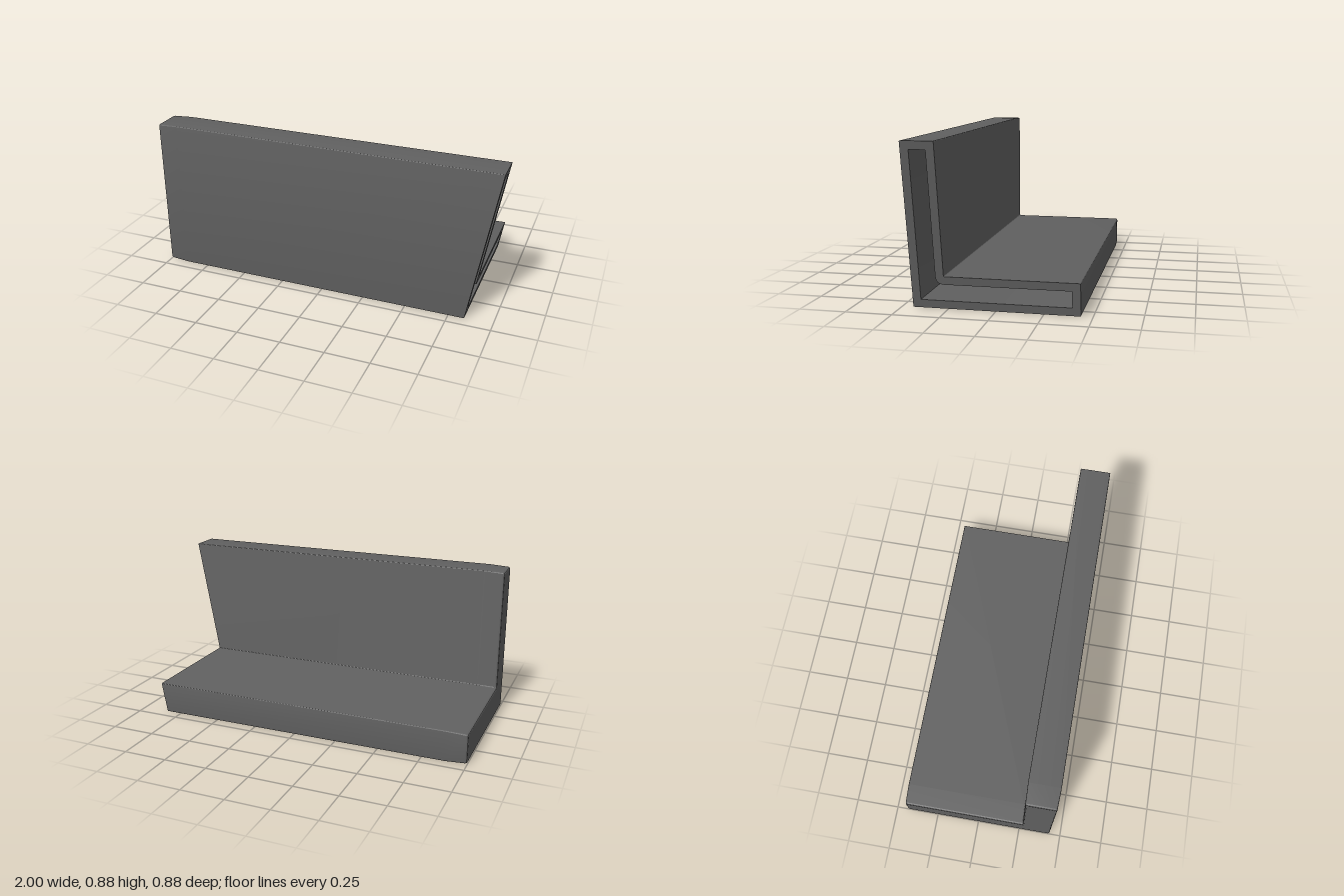
import * as THREE from 'three';
import { mergeVertices, toCreasedNormals } from 'three/addons/utils/BufferGeometryUtils.js';

// L profile corners: z, y, and the direction an inset moves each of them
const CORNERS = [
  [0.44, 0, -1, 1], [-0.44, 0, 1, 1], [-0.44, 0.177, 1, -1],
  [0.265, 0.177, 1, -1], [0.265, 0.88, 1, -1], [0.44, 0.88, -1, -1],
];
const WALL = 0.044;
const STEPS = 4;

// Profile inset by d, with every corner rounded by its radius
function profile(d, radius) {
  const c = CORNERS.map(([z, y, sz, sy]) => new THREE.Vector2(z + sz * d, y + sy * d));
  return c.flatMap((p, i) => {
    const prev = c[(i + c.length - 1) % c.length], next = c[(i + 1) % c.length];
    const r = radius(i);
    const toward = (q) => q.clone().sub(p).setLength(r).add(p);
    return new THREE.QuadraticBezierCurve(toward(prev), p, toward(next)).getPoints(STEPS);
  });
}

// The open end leans outward with height
const slant = (y) => 0.84 + 0.16 * y / 0.88;

const place = (points, xAt) => points.map((p) => new THREE.Vector3(xAt(p.y), p.y, p.x));

// Skin through successive rings of points; a low crease angle keeps the walls evenly shaded
function loft(rings) {
  const n = rings[0].length, index = [];
  for (let i = 0; i < rings.length - 1; i++) {
    for (let j = 0; j < n; j++) {
      const k = (j + 1) % n, a = i * n, b = a + n;
      index.push(a + j, a + k, b + j, a + k, b + k, b + j);
    }
  }
  const geo = new THREE.BufferGeometry().setFromPoints(rings.flat());
  geo.setIndex(index);
  return toCreasedNormals(mergeVertices(geo), 0.15);
}

// Flat face across a profile, facing -x or (flipped) +x
function face(points, xAt, flip, hole) {
  const shape = new THREE.Shape(points);
  if (hole) shape.holes.push(new THREE.Path(hole));
  const geo = new THREE.ShapeGeometry(shape);
  const pos = geo.attributes.position;
  for (let i = 0; i < pos.count; i++) {
    const z = pos.getX(i), y = pos.getY(i);
    pos.setXYZ(i, xAt(y), y, z);
  }
  if (flip) geo.setIndex(Array.from(geo.index.array).reverse());
  geo.computeVertexNormals();
  return geo;
}

export function createModel() {
  const group = new THREE.Group();
  group.name = 'hollowAngleProfile';
  const material = new THREE.MeshStandardMaterial({ color: 0x606060, side: THREE.DoubleSide });
  const add = (name, geo) => {
    const mesh = new THREE.Mesh(geo, material);
    mesh.name = name;
    group.add(mesh);
  };

  // Outer skin, with softened edges at the closed end
  const outer = profile(0, () => 0.006);
  const sections = [[-1, 0.012, 0.012], [-0.997, 0.007, 0.012], [-0.988, 0.004, 0.012], [-0.88, 0, 0.008]];
  const rings = sections.map(([x, d, r]) => place(profile(d, () => r), () => x));
  add('outerShell', loft([...rings, place(outer, slant)]));
  add('closedEnd', face(profile(0.012, () => 0.012), () => -1, false));

  // Cavity running back from the slanted end
  const inner = profile(WALL, (i) => (i === 3 ? WALL : 0.002));
  const depth = () => -1 + WALL;
  add('innerWalls', loft([place(inner, slant), place(inner, depth)]));
  add('cavityEnd', face(inner, depth, true));
  add('slantedRim', face(outer, slant, true, inner));

  return group;
}
